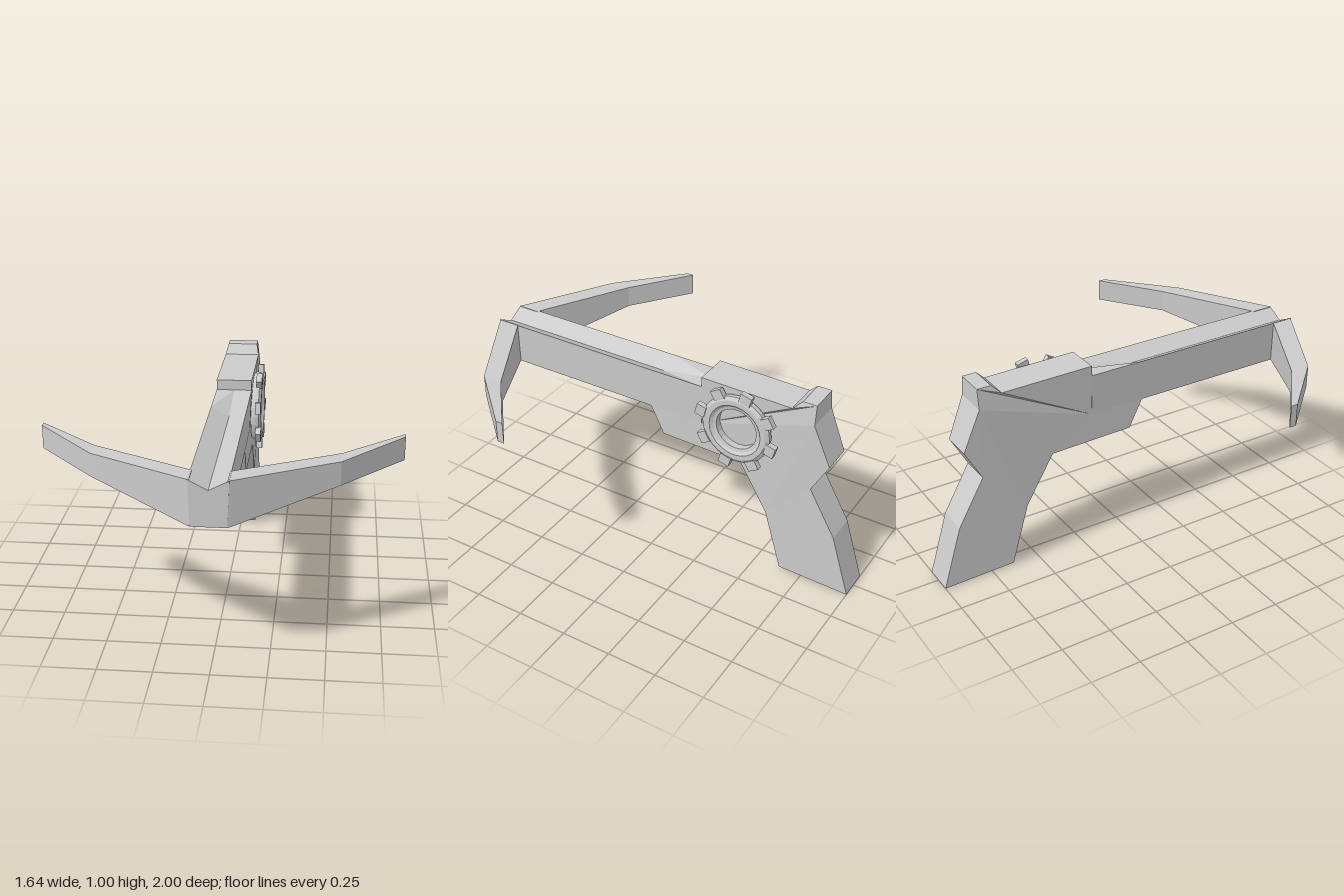
import * as THREE from 'three';

const material = new THREE.MeshStandardMaterial({ color: 0xcccccc, flatShading: true });

// Closed solid through equal-length rings, each counter-clockwise seen from the far end
function loft(rings) {
  const pos = [];
  const tri = (...pts) => pts.forEach((p) => pos.push(...p));
  const n = rings[0].length;
  for (let r = 0; r < rings.length - 1; r++) {
    for (let i = 0; i < n; i++) {
      const j = (i + 1) % n;
      const a = rings[r][i], b = rings[r][j], c = rings[r + 1][j], d = rings[r + 1][i];
      tri(a, b, c);
      tri(a, c, d);
    }
  }
  const first = rings[0], last = rings[rings.length - 1];
  for (let i = 1; i < n - 1; i++) {
    tri(first[0], first[i + 1], first[i]);
    tri(last[0], last[i], last[i + 1]);
  }
  const geo = new THREE.BufferGeometry();
  geo.setAttribute('position', new THREE.Float32BufferAttribute(pos, 3));
  geo.computeVertexNormals();
  return geo;
}

function part(name, geo) {
  const mesh = new THREE.Mesh(geo, material);
  mesh.name = name;
  return mesh;
}

// Half width of the body by height: slim grip, wider receiver, tapered sight
function halfWidth(y) {
  if (y > 0.965) return 0.075;
  return THREE.MathUtils.clamp(THREE.MathUtils.mapLinear(y, 0.7, 0.905, 0.078, 0.087), 0.078, 0.087);
}

// Receiver and grip: side profile as [z, y]
function receiver() {
  const profile = [
    [-0.185, 0.705], [0.1, 0.705], [0.03, 0.565], [-0.4, 0.555], [-0.545, 0.315],
    [-0.635, 0.01], [-1, 0], [-0.905, 0.31], [-0.77, 0.545], [-0.855, 0.7],
    [-0.77, 0.905], [-0.77, 1.005], [-0.7, 1.005], [-0.655, 0.96], [-0.185, 0.965],
  ].map(([z, y]) => new THREE.Vector2(z, y));
  let geo = new THREE.ExtrudeGeometry(new THREE.Shape(profile), { depth: 2, bevelEnabled: false });
  geo.translate(0, 0, -1).rotateY(-Math.PI / 2);
  const p = geo.attributes.position;
  for (let i = 0; i < p.count; i++) p.setX(i, p.getX(i) * halfWidth(p.getY(i)));
  geo.computeVertexNormals();
  return part('receiverAndGrip', geo);
}

// Stock with a V groove that ramps out towards the receiver
function stock() {
  const section = (z, grooveY) => [
    [0, grooveY, z], [-0.087, 0.915, z], [-0.079, 0.705, z], [0.079, 0.705, z], [0.087, 0.915, z],
  ];
  return part('stock', loft([section(-0.185, 0.915), section(0.08, 0.87), section(1, 0.87)]));
}

// Bow limb, swept back in two straight runs
function limb(side) {
  const stations = [ // x, front z, back z, bottom y, top y
    [0.08, 1, 0.89, 0.705, 0.914],
    [0.54, 0.735, 0.635, 0.803, 0.912],
    [0.82, 0.44, 0.405, 0.815, 0.925],
  ];
  const rings = stations.map(([x, front, back, low, high]) => {
    const ring = [[low, front], [low, back], [high, back], [high, front]]
      .map(([y, z]) => [side * x, y, z]);
    return side > 0 ? ring : ring.reverse();
  });
  return part(side > 0 ? 'leftLimb' : 'rightLimb', loft(rings));
}

// Cog wheel: stepped ring with eight teeth, on the left side only
function cog() {
  const group = new THREE.Group();
  group.name = 'cog';
  const outline = [
    [0.165, -0.005], [0.178, 0.015], [0.178, 0.034], [0.16, 0.046], [0.135, 0.046],
    [0.122, 0.034], [0.106, 0.03], [0.106, -0.005],
  ].map(([r, h]) => new THREE.Vector2(r, h));
  group.add(part('cogRing', new THREE.LatheGeometry(outline, 24).rotateZ(-Math.PI / 2)));
  for (let i = 0; i < 8; i++) {
    const tooth = part('cogTooth', new THREE.BoxGeometry(0.028, 0.05, 0.058).translate(0.033, 0.19, 0));
    tooth.rotation.x = -THREE.MathUtils.degToRad(15 + 45 * i);
    group.add(tooth);
  }
  group.position.set(0.085, 0.765, -0.39);
  return group;
}

export function createModel() {
  const model = new THREE.Group();
  model.name = 'handCrossbow';
  model.add(receiver(), stock(), limb(1), limb(-1), cog());
  return model;
}
